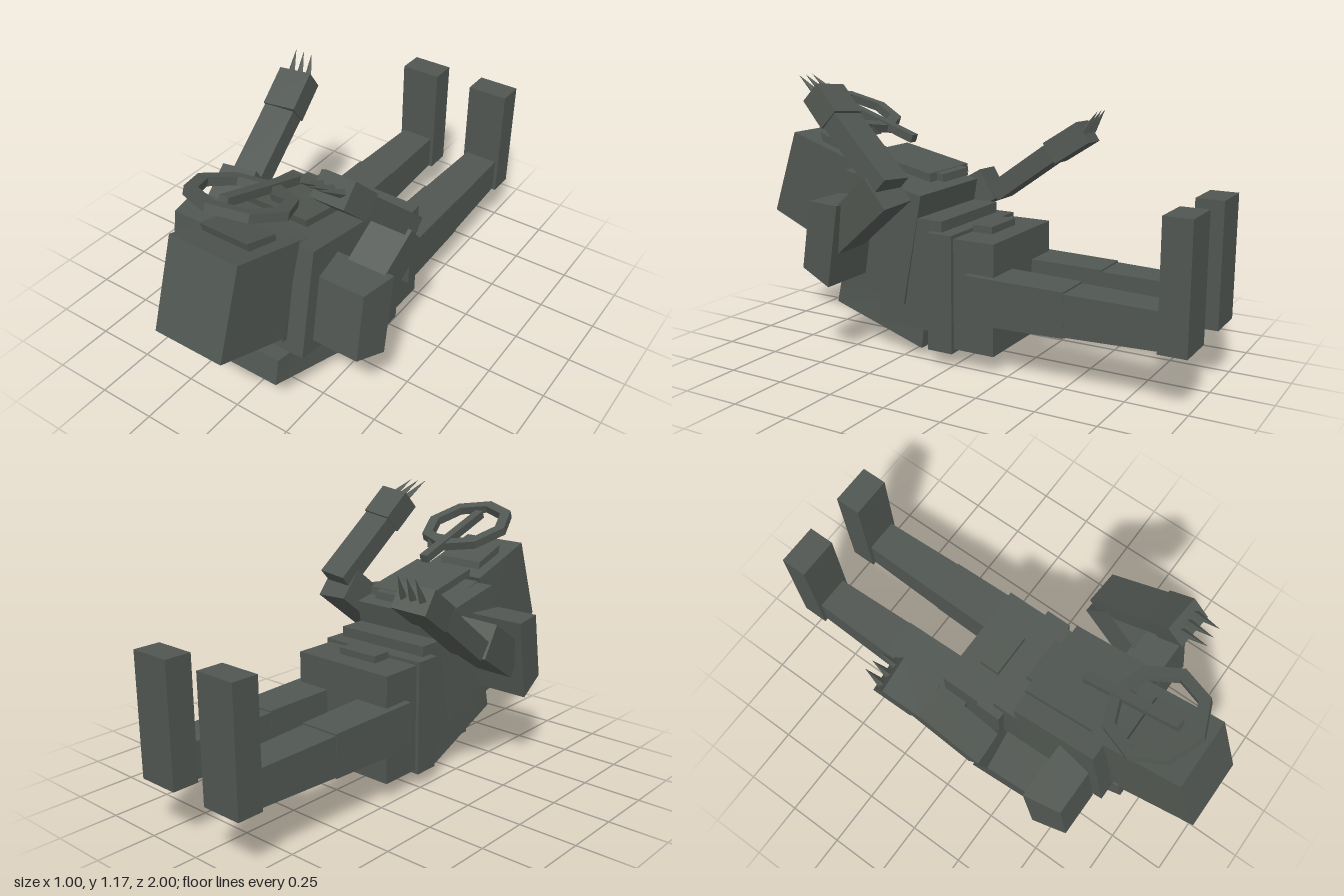
import * as THREE from 'three';

const CX = 0.02; // centre line of the body

export function createModel() {
  const model = new THREE.Group();
  const grey = new THREE.MeshStandardMaterial({ color: 0x505651 });
  grey.name = 'darkGrey';

  const add = (name, geo) => {
    const mesh = new THREE.Mesh(geo, grey);
    mesh.name = name;
    model.add(mesh);
    return mesh;
  };

  // Block between two end faces; each end is [half width, y, z] at bottom and top
  const block = (name, front, back, cx = CX) => {
    const geo = new THREE.BoxGeometry(2, 2, 2);
    const p = geo.attributes.position;
    for (let i = 0; i < p.count; i++) {
      const end = p.getZ(i) > 0 ? front : back;
      const [w, y, z] = p.getY(i) > 0 ? end[1] : end[0];
      p.setXYZ(i, cx + p.getX(i) * w, y, z);
    }
    geo.computeVertexNormals();
    return add(name, geo);
  };

  // Straight box from x0..x1, y0..y1, z0..z1
  const box = (name, x0, x1, y0, y1, z0, z1) => {
    const mesh = add(name, new THREE.BoxGeometry(x1 - x0, y1 - y0, z1 - z0));
    mesh.position.set((x0 + x1) / 2, (y0 + y1) / 2, (z0 + z1) / 2);
    return mesh;
  };

  // Orients a mesh so its local y runs from a to b and its local x stays sideways
  const align = (mesh, a, b) => {
    const dir = b.clone().sub(a).normalize();
    const side = new THREE.Vector3(1, 0, 0).addScaledVector(dir, -dir.x).normalize();
    const depth = side.clone().cross(dir);
    mesh.quaternion.setFromRotationMatrix(new THREE.Matrix4().makeBasis(side, dir, depth));
    mesh.position.copy(a).add(b).multiplyScalar(0.5);
  };
  const beam = (name, a, b, width, thick) => {
    const va = new THREE.Vector3(...a), vb = new THREE.Vector3(...b);
    align(add(name, new THREE.BoxGeometry(width, va.distanceTo(vb), thick)), va, vb);
  };

  // Torso
  block('chest',
    [[0.228, 0.31, 0.63], [0.226, 0.775, 0.54]],
    [[0.236, 0.23, 0.245], [0.226, 0.7, 0.16]]);
  block('neck',
    [[0.148, 0.365, 0.65], [0.148, 0.785, 0.56]],
    [[0.148, 0.34, 0.5], [0.148, 0.75, 0.42]]);
  box('abdomen', -0.205, 0.245, 0.13, 0.605, 0.06, 0.38);
  box('waist', -0.24, 0.28, 0.063, 0.56, -0.005, 0.11);
  box('pelvis', -0.225, 0.262, 0.08, 0.545, -0.19, 0);
  box('buckle', -0.08, 0.115, 0.54, 0.575, -0.1, -0.01);
  block('chestPlate',
    [[0.15, 0.815, 0.475], [0.15, 0.848, 0.48]],
    [[0.15, 0.745, 0.16], [0.15, 0.78, 0.165]]);
  block('chestBar',
    [[0.098, 0.76, 0.235], [0.098, 0.79, 0.24]],
    [[0.098, 0.74, 0.13], [0.098, 0.772, 0.135]]);

  // Pack under the torso
  block('pack',
    [[0.129, 0.147, 0.68], [0.129, 0.26, 0.655]],
    [[0.218, 0.045, 0.17], [0.19, 0.25, 0.16]]);
  block('packBase',
    [[0.08, 0.115, 0.65], [0.08, 0.2, 0.63]],
    [[0.105, 0.005, 0.15], [0.105, 0.13, 0.13]]);

  // Head with face pieces
  block('head',
    [[0.154, 0.54, 1.0], [0.155, 0.904, 0.873]],
    [[0.167, 0.41, 0.67], [0.162, 0.797, 0.535]]);
  block('facePlate',
    [[0.108, 0.865, 0.755], [0.108, 0.905, 0.765]],
    [[0.108, 0.81, 0.6], [0.108, 0.85, 0.61]]);
  block('faceStud',
    [[0.029, 0.93, 0.54], [0.029, 0.965, 0.545]],
    [[0.029, 0.91, 0.485], [0.029, 0.945, 0.49]], 0.088);

  // Octagonal halo with a rod across it
  const octagon = (Type, r) => new Type(Array.from({ length: 8 }, (_, i) =>
    new THREE.Vector2(r * Math.cos(i * Math.PI / 4), r * Math.sin(i * Math.PI / 4))));
  const ring = octagon(THREE.Shape, 0.207);
  ring.holes.push(octagon(THREE.Path, 0.158));
  const ringGeo = new THREE.ExtrudeGeometry(ring, { depth: 0.035, bevelEnabled: false });
  ringGeo.translate(0, 0, -0.0175);
  const halo = add('halo', ringGeo);
  halo.position.set(CX, 0.998, 0.652);
  halo.rotation.x = -Math.PI / 2 - 0.35;
  beam('haloRod', [CX, 0.895, 0.34], [CX, 1.038, 0.75], 0.04, 0.035);

  // Legs, mirrored about the centre line
  for (const s of [-1, 1]) {
    const cx = CX + s * 0.179;
    block('upperLeg',
      [[0.096, 0.213, -0.075], [0.096, 0.412, -0.075]],
      [[0.088, 0.222, -0.505], [0.088, 0.405, -0.505]], cx);
    block('lowerLeg',
      [[0.087, 0.227, -0.5], [0.087, 0.398, -0.5]],
      [[0.076, 0.237, -0.89], [0.076, 0.39, -0.89]], cx);
    box('foot', cx - 0.092, cx + 0.092, 0.232, 0.745, -1, -0.885);

    block('shoulder',
      [[0.1, 0.395, 0.595], [0.098, 0.68, 0.55]],
      [[0.126, 0.338, 0.445], [0.126, 0.68, 0.39]], CX + s * 0.355);
  }

  // Arms: joints from shoulder to hand end, then claw tips
  const arms = [
    { joints: [[0.375, 0.53, 0.47], [0.408, 0.75, 0.205], [0.368, 1.005, 0.455], [0.347, 1.108, 0.56]],
      elbow: [0.408, 0.765, 0.19], tip: [0.322, 1.176, 0.672] },
    { joints: [[-0.335, 0.5, 0.43], [-0.378, 0.655, 0.17], [-0.402, 0.815, -0.125], [-0.422, 0.915, -0.275]],
      elbow: [-0.384, 0.62, 0.14], tip: [-0.435, 1.01, -0.33] },
  ];
  for (const { joints: [shoulder, end, wrist, hand], elbow, tip } of arms) {
    beam('upperArm', shoulder, end, 0.165, 0.15);
    beam('forearm', elbow, wrist, 0.146, 0.085);
    beam('hand', wrist, hand, 0.153, 0.105);
    for (const k of [-1, 0, 1]) {
      const a = new THREE.Vector3(hand[0] + k * 0.045, hand[1], hand[2]);
      const b = new THREE.Vector3(tip[0] + k * 0.041, tip[1], tip[2]);
      const geo = new THREE.ConeGeometry(0.018, a.distanceTo(b), 4).toNonIndexed();
      geo.computeVertexNormals();
      align(add('claw', geo), a, b);
    }
  }
  return model;
}
